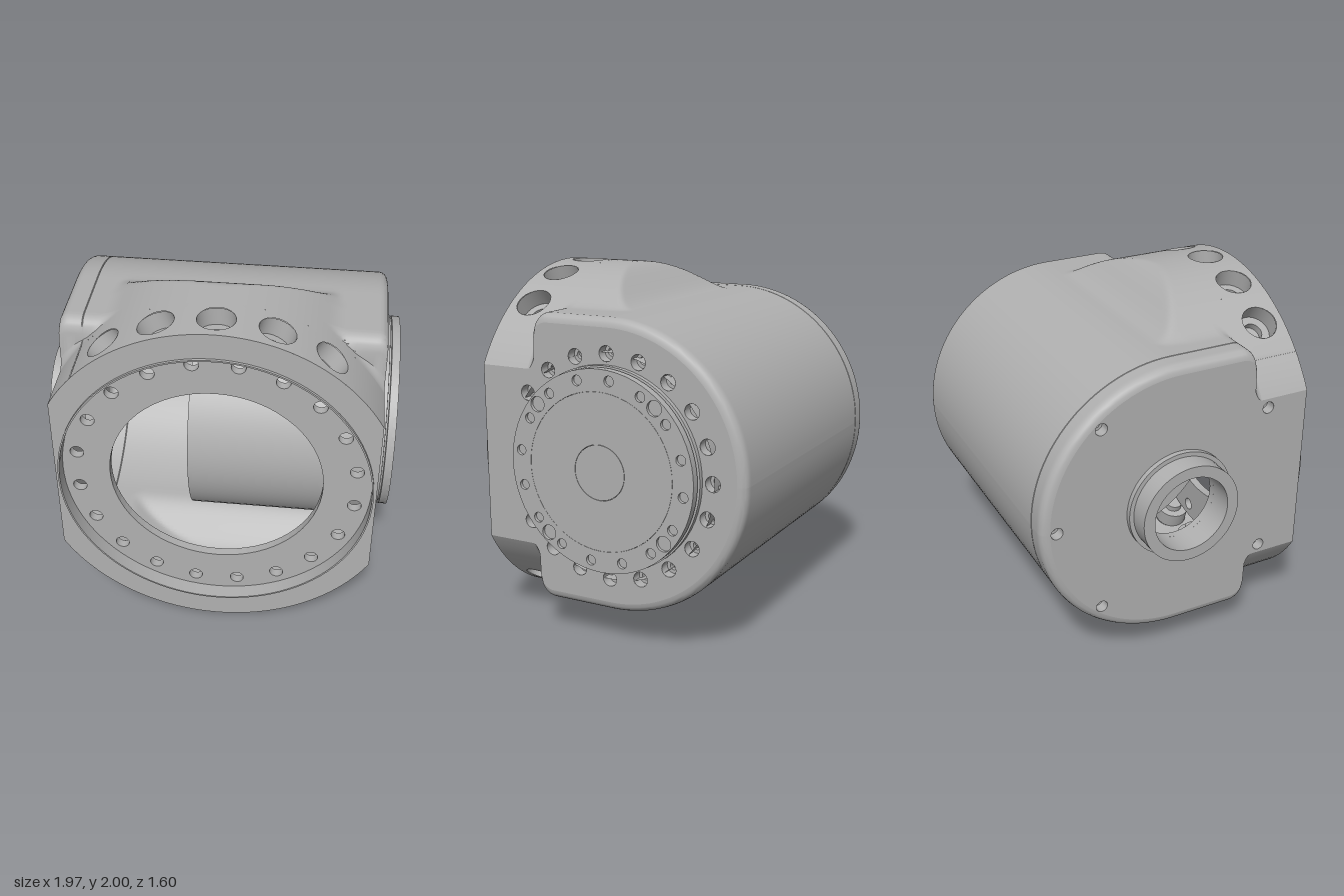
import * as THREE from 'three';
import { toCreasedNormals } from 'three/addons/utils/BufferGeometryUtils.js';

const DEG = Math.PI / 180;
const CX = 0.03, CY = 1;          // flange axis
const HALF = 0.87;                // half width of the housing
const FRONT = 0.785;              // front plane of the flange
const RECESS = 0.715;             // face of the recessed mounting ring
const EDGE = 0.05;                // rounding of the housing ends
const range = (a, b, n) => Array.from({ length: n + 1 }, (_, i) => a + (b - a) * i / n);

// Blended maximum and minimum, k is the width of the blend
const softMax = (a, b, k) => Math.max(a, b) + (k > 0 ? Math.max(0, k - Math.abs(a - b)) ** 2 / (4 * k) : 0);
const softMin = (a, b, k) => -softMax(-a, -b, k);

export function createModel() {
  const model = new THREE.Group();
  const grey = new THREE.MeshStandardMaterial({ color: 0xb0b0b0, side: THREE.DoubleSide });
  grey.name = 'machined grey';

  const add = (name, geometry, parent = model) => {
    const mesh = new THREE.Mesh(geometry, grey);
    mesh.name = name;
    parent.add(mesh);
    return mesh;
  };

  // Surface from a rule over two lists of parameters
  const surface = (us, vs, rule) => {
    const pos = [], index = [], n = vs.length;
    us.forEach(u => vs.forEach(v => pos.push(...rule(u, v))));
    for (let i = 0; i < us.length - 1; i++) for (let j = 0; j < n - 1; j++) {
      const a = i * n + j, b = a + n;
      index.push(a, b, a + 1, b, b + 1, a + 1);
    }
    const g = new THREE.BufferGeometry();
    g.setAttribute('position', new THREE.Float32BufferAttribute(pos, 3));
    g.setIndex(index);
    g.computeVertexNormals();
    return g;
  };

  // Turned profile, points are [radius, distance along y]
  const lathe = (points, sides) =>
    toCreasedNormals(new THREE.LatheGeometry(points.map(p => new THREE.Vector2(...p)), sides), 0.5);
  const turnedX = (points) => lathe(points, 64).rotateZ(-Math.PI / 2).translate(0, CY, 0);

  const circle = (x, y, r) => new THREE.Path().absarc(x, y, r, 0, Math.PI * 2, true);
  const disc = (r) => new THREE.Shape().absarc(0, 0, r, 0, Math.PI * 2, false);

  // Stepped blind hole opening along a direction
  const cup = (r, depth, at, dir) => {
    const pts = [[r, 0], [r, -depth], [r * 0.55, -depth], [r * 0.55, -depth * 1.4], [0, -depth * 1.4]];
    const m = add('boltHole', lathe(pts, 24), housing);
    m.position.set(...at);
    m.quaternion.setFromUnitVectors(new THREE.Vector3(0, 1, 0), new THREE.Vector3(...dir).normalize());
  };

  // Inset of the skin: rounded ends and the cover seam
  const seam = (x) => (Math.abs(x + 0.74) < 0.001 ? 0.004 : 0);
  const inset = (x) => {
    const d = Math.max(0, EDGE - (HALF - Math.abs(x)));
    return seam(x) + EDGE - Math.sqrt(Math.max(0, EDGE * EDGE - d * d));
  };

  // Half height of the housing ahead of the main axis
  const height = (x, z) => {
    const t = Math.min(1, Math.max(0, z / 0.34));
    const ramp = 0.8 + 0.2 * t * t * (3 - 2 * t);
    const round = Math.sqrt(1 - x * x);
    const flange = softMin(round, ramp, 0.03 * (1 - t));
    if (z > 0.452) { // concave fillet where the shoulder meets the flange
      const rise = 0.06 * Math.max(0, 1 - (z - 0.452) / 0.043) ** 2;
      return flange + rise * Math.min(1, Math.max(0, (0.7 - round) / 0.15)) - seam(x);
    }
    const k = Math.min(1, Math.max(0, (z - 0.37) / 0.08));
    const box = 0.8 - inset(x) - 0.08 * (1 - Math.sqrt(1 - k * k));
    return softMax(flange, box, 0.04 * Math.min(1, 2 * t) * (1 - k) * Math.min(1, (HALF - Math.abs(x)) / 0.1));
  };

  // Rows: negative values run round the back arc, positive ones are z
  const rows = [...range(-1, 0, 28), ...range(0.02, 0.34, 20), ...range(0.36, 0.45, 9),
    0.453, 0.46, 0.467, 0.475, 0.485, 0.495];
  const skin = (x, v, s) => {
    if (v > 0) return [CX + x, CY + s * height(x, v), v];
    const a = -v * Math.PI / 2, r = 0.8 - inset(x);
    return [CX + x, CY + s * r * Math.cos(a), -r * Math.sin(a)];
  };
  const columns = [...range(-58.5, 58.5, 78).map(d => Math.sin(d * DEG)),
    -0.743, -0.74, -0.737, ...[0.858, 0.866, HALF].flatMap(x => [x, -x])].sort((a, b) => a - b);
  const corner = Math.sin(45 * DEG);

  const housing = new THREE.Group();
  housing.name = 'housing';
  model.add(housing);
  for (const s of [1, -1]) {
    add('housingSkin', toCreasedNormals(surface(columns, rows, (x, v) => skin(x, v, s)), 0.6), housing);
    // Plain flange rim near the flat sides
    for (const side of [1, -1]) {
      const xs = columns.filter(x => x * side > corner - 1e-6);
      add('flangeRim', surface(xs, [0.495, FRONT], (x, z) => [CX + x, CY + s * height(x, z), z]), housing);
    }
    // Flange rim panels, each with a radial counterbore
    for (let i = -2; i <= 2; i++) {
      const mid = i * 18 * DEG;
      add('flangeRimPanel', surface(range(0, 2 * Math.PI, 48), range(0, 1, 4), (a, t) => {
        const c = Math.cos(a), n = Math.sin(a), m = Math.max(Math.abs(c), Math.abs(n));
        const th = mid + THREE.MathUtils.lerp(0.1 * c, 9 * DEG * c / m, t);
        const z = 0.64 + THREE.MathUtils.lerp(0.1 * n, 0.145 * n / m, t);
        return [CX + Math.sin(th), CY + s * Math.cos(th), z];
      }), housing);
      const dx = Math.sin(mid), dy = s * Math.cos(mid);
      cup(0.1, 0.1, [CX + dx * 0.997, CY + dy * 0.997, 0.64], [dx, dy, 0]);
    }
  }

  // Flat ends with their screw holes
  const endFace = (side, holes) => {
    const edge = [...rows, FRONT].map(v => skin(side * HALF, v, 1));
    const outline = [...edge.map(p => [p[2], p[1]]), ...edge.reverse().map(p => [p[2], 2 * CY - p[1]])];
    const shape = new THREE.Shape(outline.map(p => new THREE.Vector2(...p)));
    holes.forEach(([z, y, r]) => shape.holes.push(circle(z, CY + y, r)));
    const g = new THREE.ShapeGeometry(shape, 24), p = g.attributes.position;
    for (let i = 0; i < p.count; i++) p.setXYZ(i, CX + side * HALF, p.getY(i), p.getX(i));
    g.computeVertexNormals();
    add('endFace', g, housing);
    holes.filter(h => h[2] < 0.1).forEach(([z, y, r]) =>
      cup(r, 0.06, [CX + side * HALF, CY + y, z], [side, 0, 0]));
  };
  const outputBolts = [];
  for (let a = 36; a <= 324; a += 18)
    outputBolts.push([0.615 * Math.cos(a * DEG), 0.615 * Math.sin(a * DEG), 0.042]);
  endFace(1, outputBolts);
  const coverScrews = [130, 180, 230].map(a => [0.712 * Math.cos(a * DEG), 0.712 * Math.sin(a * DEG), 0.034]);
  endFace(-1, [[0, 0, 0.22], ...coverScrews, [0.54, 0.44, 0.034], [0.54, -0.44, 0.034]]);

  // Front face of the flange
  const a0 = Math.asin(HALF);
  const face = new THREE.Shape();
  face.absarc(0, 0, 1, Math.PI / 2 - a0, Math.PI / 2 + a0, false);
  face.absarc(0, 0, 1, 1.5 * Math.PI - a0, 1.5 * Math.PI + a0, false);
  face.closePath();
  face.holes.push(circle(0, 0, 0.856));
  add('flangeFace', new THREE.ShapeGeometry(face, 48).translate(CX, CY, FRONT));

  // Thin locating lip round the recess
  add('locatingLip', lathe([[0.856, FRONT], [0.856, 0.8], [0.847, 0.8], [0.847, RECESS]], 96)
    .rotateX(Math.PI / 2).translate(CX, CY, 0));

  // Recessed mounting ring with twenty through holes
  const ring = disc(0.848);
  ring.holes.push(circle(0, 0, 0.585));
  for (let i = 0; i < 20; i++) {
    const a = (9 + 18 * i) * DEG;
    ring.holes.push(circle(0.77 * Math.cos(a), 0.77 * Math.sin(a), 0.038));
  }
  add('mountingRing', new THREE.ExtrudeGeometry(ring, { depth: 0.05, bevelEnabled: false, curveSegments: 32 })
    .translate(CX, CY, RECESS - 0.05));

  // Inner drive drum
  add('driveDrum', turnedX([[0, -0.14], [0.62, -0.14], [0.62, 0.89]]));

  // Output flange: grooved base and drilled plate
  add('outputBase', turnedX([[0.557, 0.9], [0.557, 0.928], [0.535, 0.93], [0.535, 0.938],
    [0.55, 0.94], [0.55, 0.966], [0, 0.966]]));
  const plate = (name, shape) => add(name,
    new THREE.ExtrudeGeometry(shape, { depth: 0.02, bevelEnabled: false, curveSegments: 32 })
      .rotateY(Math.PI / 2).translate(0.965, CY, 0));
  const rim = disc(0.55);
  rim.holes.push(circle(0, 0, 0.431));
  for (let i = 0; i < 16; i++) {
    const a = (15 + 22.5 * i) * DEG;
    rim.holes.push(circle(0.495 * Math.cos(a), 0.495 * Math.sin(a), 0.028));
  }
  for (let i = 0; i < 4; i++) {
    const a = (49 + 90 * i) * DEG;
    rim.holes.push(circle(0.5 * Math.cos(a), 0.5 * Math.sin(a), 0.042));
  }
  plate('outputRim', rim);
  const web = disc(0.43);
  web.holes.push(circle(0, 0, 0.151));
  plate('outputWeb', web);
  plate('outputHub', disc(0.149));

  // Hollow shaft stub with its collar
  add('hollowShaft', turnedX([[0.22, -0.8], [0.22, -0.985], [0.285, -0.985], [0.285, -0.87],
    [0.31, -0.87], [0.31, -0.835]]));
  return model;
}
